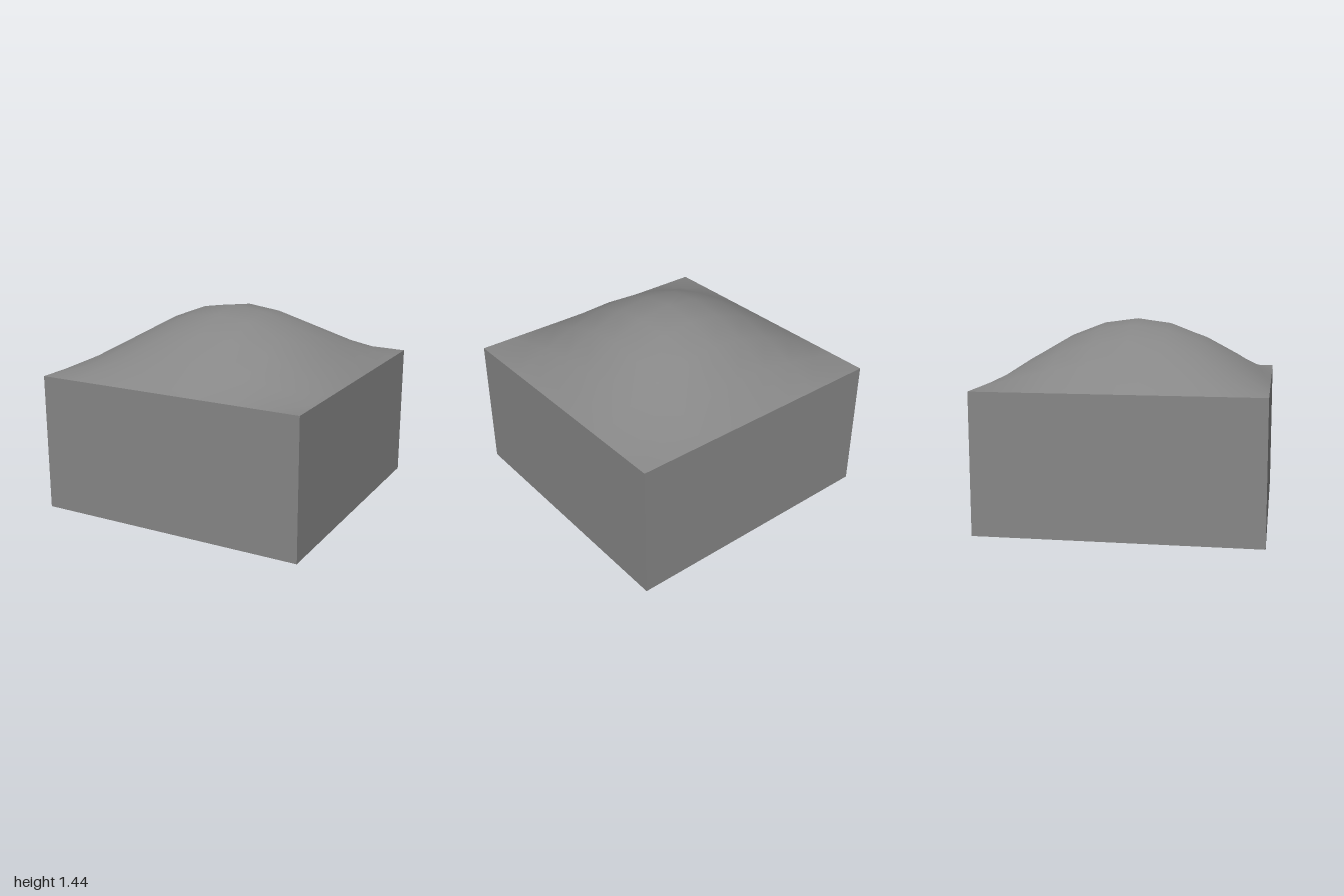
import * as THREE from 'three';

const SIZE = 2, WALL = 1, RISE = 0.443, STEPS = 8;

export function createModel() {
  const group = new THREE.Group();
  const material = new THREE.MeshStandardMaterial({ color: 0x878787 });

  // Square block with sharp edges; its top face is left out, as the dome closes it
  const block = new THREE.BoxGeometry(SIZE, WALL, SIZE);
  block.setIndex([...block.index.array].filter((_, i) => i < 12 || i >= 18));
  block.clearGroups();
  const base = new THREE.Mesh(block, material);
  base.name = 'base';
  base.position.y = WALL / 2;
  group.add(base);

  // Smooth pillow-shaped top: a grid raised by a cosine in both directions
  const geometry = new THREE.PlaneGeometry(SIZE, SIZE, STEPS, STEPS).rotateX(-Math.PI / 2);
  const p = geometry.attributes.position;
  const bulge = (t) => Math.cos((t * Math.PI) / SIZE);
  for (let i = 0; i < p.count; i++) {
    p.setY(i, RISE * bulge(p.getX(i)) * bulge(p.getZ(i)));
  }
  geometry.computeVertexNormals();
  const dome = new THREE.Mesh(geometry, material);
  dome.name = 'domedTop';
  dome.position.y = WALL;
  group.add(dome);

  return group;
}
